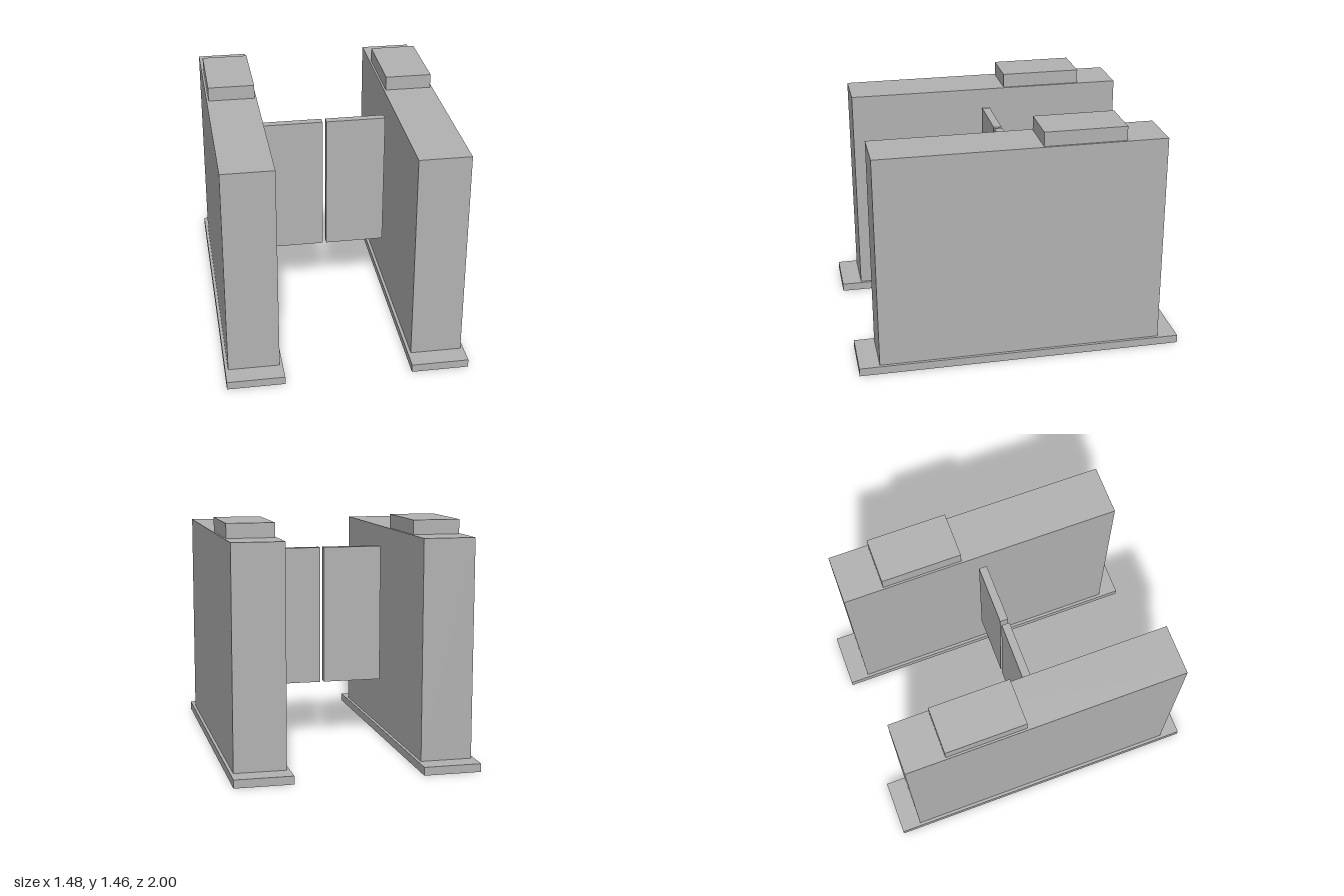
import * as THREE from 'three';

export function createModel() {
  const model = new THREE.Group();
  model.name = 'speedGate';
  const grey = new THREE.MeshStandardMaterial({ color: 0xb3b3b3 });
  grey.name = 'grey';

  // Box standing on height y, centred on x and z
  function addBox(parent, name, [w, h, d], [x, y, z]) {
    const mesh = new THREE.Mesh(new THREE.BoxGeometry(w, h, d), grey);
    mesh.name = name;
    mesh.position.set(x, y + h / 2, z);
    parent.add(mesh);
  }

  for (const [sideName, s] of [['left', 1], ['right', -1]]) {
    const side = new THREE.Group();
    side.name = sideName + 'Side';

    // Pedestal: floor plate, cabinet and reader on top
    const x = s * 0.5625;
    addBox(side, 'basePlate', [0.35, 0.05, 2], [x, 0, 0]);
    addBox(side, 'cabinet', [0.3125, 1.325, 1.75], [x, 0.05, 0]);
    addBox(side, 'cardReader', [0.2875, 0.0875, 0.5], [x, 1.375, -0.375]);

    // Barrier wing reaching to the middle of the passage
    addBox(side, 'barrierWing', [0.375, 0.875, 0.05], [s * 0.2, 0.375, 0]);

    model.add(side);
  }
  return model;
}
